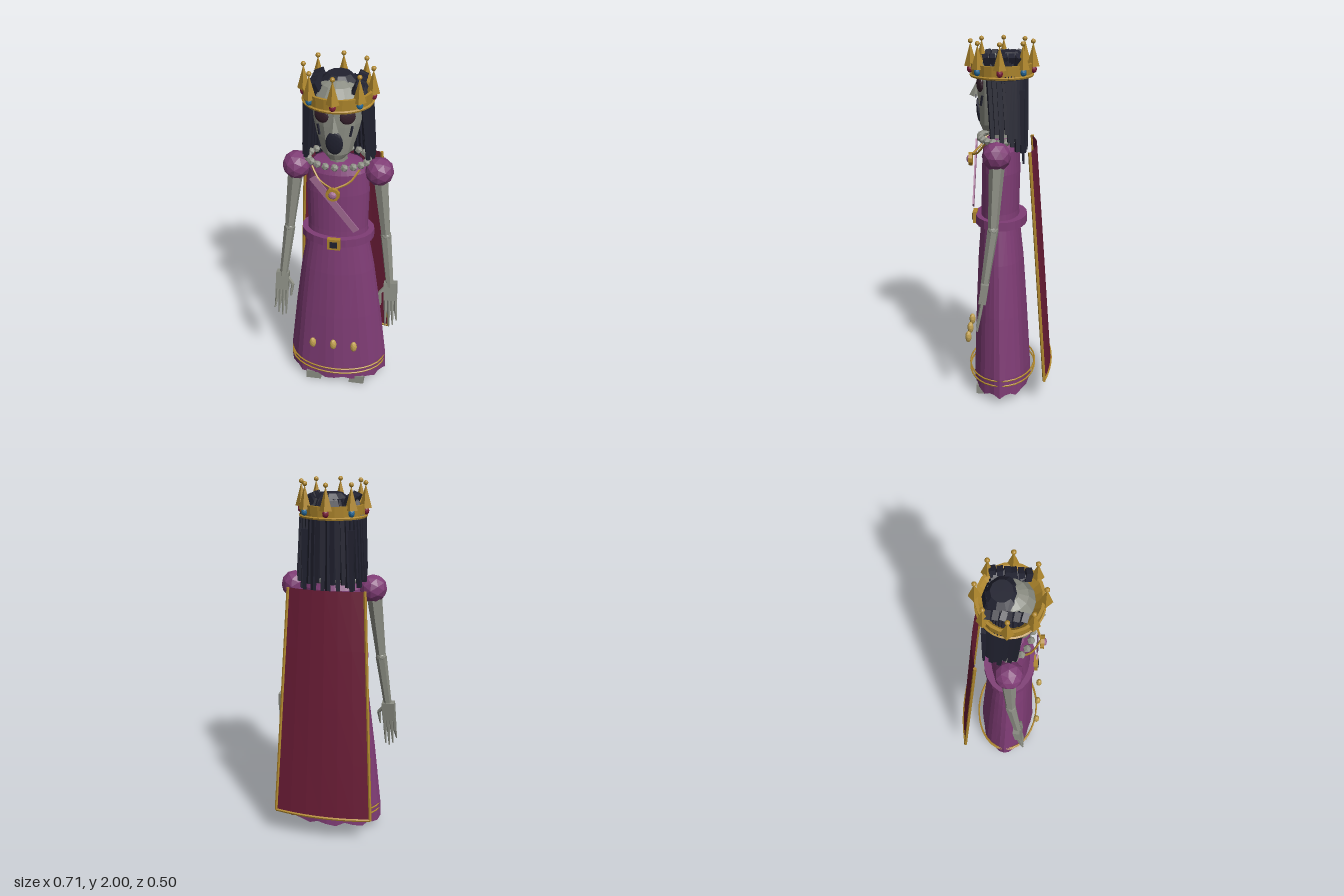
import * as THREE from 'three';

const mat = (name, color) => Object.assign(new THREE.MeshStandardMaterial({ color, flatShading: true, side: THREE.DoubleSide }), { name });
const V = (x, y, z) => new THREE.Vector3(x, y, z);

// Skin of elliptical rings [y, rx, zCentre, rz], with an optional fold rule
function loft(rings, n, capped = true, fold = (t, j) => [1, 0]) {
  const pos = [], idx = [];
  rings.forEach(([y, rx, zc, rz], j) => {
    for (let i = 0; i < n; i++) {
      const t = (i / n) * Math.PI * 2, [k, dy] = fold(t, j, i);
      pos.push(Math.sin(t) * rx * k, y + dy, zc + Math.cos(t) * rz * k);
    }
  });
  for (let j = 0; j < rings.length - 1; j++) for (let i = 0; i < n; i++) {
    const a = j * n + i, b = j * n + (i + 1) % n;
    idx.push(a, b, b + n, a, b + n, a + n);
  }
  if (capped) [0, rings.length - 1].forEach((j) => {
    const c = pos.length / 3;
    pos.push(0, rings[j][0], rings[j][2]);
    for (let i = 0; i < n; i++) {
      const a = j * n + i, b = j * n + (i + 1) % n;
      idx.push(...(j ? [a, b, c] : [b, a, c]));
    }
  });
  const g = new THREE.BufferGeometry();
  g.setAttribute('position', new THREE.Float32BufferAttribute(pos, 3));
  g.setIndex(idx);
  g.computeVertexNormals();
  return g;
}

export function createModel() {
  const root = new THREE.Group();
  root.name = 'skeletonQueen';
  const purple = mat('purpleCloth', 0x7f3c75), crimson = mat('crimsonCape', 0x6a1c36), gold = mat('gold', 0xae862c),
    bone = mat('bone', 0x8b8d83), black = mat('blackHair', 0x212230), paleGold = mat('paleGold', 0xc0a050),
    pink = mat('pinkSash', 0xa06a92), blue = mat('blueGem', 0x246a9c), ruby = mat('ruby', 0x7c1c38), socket = mat('eyeSocket', 0x35202c);

  const add = (name, geo, m, x = 0, y = 0, z = 0, parent = root) => {
    const mesh = new THREE.Mesh(geo, m);
    mesh.name = name;
    mesh.position.set(x, y, z);
    parent.add(mesh);
    return mesh;
  };
  const box = (name, w, h, d, m, x, y, z) => add(name, new THREE.BoxGeometry(w, h, d), m, x, y, z);
  const ball = (name, r, m, x, y, z, detail = 1) => add(name, new THREE.IcosahedronGeometry(r, detail), m, x, y, z);
  // Tapered bar from a to b
  const bar = (name, a, b, ra, rb, m, sides = 6) => {
    const d = b.clone().sub(a);
    const mesh = add(name, new THREE.CylinderGeometry(rb, ra, d.length(), sides), m);
    mesh.position.copy(a).add(b).multiplyScalar(0.5);
    mesh.quaternion.setFromUnitVectors(V(0, 1, 0), d.normalize());
    return mesh;
  };
  const tube = (name, pts, r, m, closed = false) =>
    add(name, new THREE.TubeGeometry(new THREE.CatmullRomCurve3(pts, closed), closed ? 32 : 12, r, 5, closed), m);
  const ellipse = (n, rx, rz, y, zc) => Array.from({ length: n }, (_, i) => {
    const t = (i / n) * Math.PI * 2;
    return V(Math.sin(t) * rx, y, zc + Math.cos(t) * rz);
  });

  // Gown with folds that fade toward the waist and a wavy hem
  add('gown', loft([
    [0.045, 0.28, 0.04, 0.16], [0.15, 0.28, 0.04, 0.157], [0.5, 0.243, 0.044, 0.142], [0.8, 0.205, 0.047, 0.126],
    [1.0, 0.17, 0.05, 0.108], [1.08, 0.165, 0.05, 0.104], [1.3, 0.17, 0.045, 0.105], [1.42, 0.16, 0.043, 0.1], [1.47, 0.13, 0.043, 0.08],
  ], 32, false, (t, j) => [1 + Math.max(0, 4 - j) * 0.007 * Math.cos(8 * t), j ? 0 : 0.012 * Math.sin(11 * t)]), purple);
  add('gownTop', loft([[1.465, 0.13, 0.043, 0.08], [1.475, 0.05, 0.043, 0.05]], 16), purple);
  [0.11, 0.14].forEach((y) => tube('hemTrim', ellipse(16, 0.28, 0.186, y, 0.04), 0.005, gold, true));
  [-0.12, 0, 0.12].forEach((x) => ball('skirtJewel', 0.02, paleGold, x, 0.335, 0.228).scale.set(1, 1.75, 0.9));

  // Belt with a square buckle
  add('belt', loft([[1.0, 0.2, 0.045, 0.143], [1.048, 0.2, 0.045, 0.143], [1.048, 0.165, 0.045, 0.1], [1.0, 0.165, 0.045, 0.1], [1.0, 0.2, 0.045, 0.143]], 20, false), purple);
  box('buckle', 0.07, 0.066, 0.024, gold, 0, 1.024, 0.19);
  box('buckleCentre', 0.04, 0.036, 0.006, black, 0, 1.024, 0.204);

  // Sash, chain and pendant
  box('sash', 0.037, 0.385, 0.008, pink, 0.005, 1.275, 0.189).rotation.z = 0.645;
  [-1, 1].forEach((s) => tube('chain', [V(s * 0.125, 1.46, 0.125), V(s * 0.08, 1.405, 0.165), V(0, 1.375, 0.205)], 0.006, gold));
  add('pendant', new THREE.CylinderGeometry(0.037, 0.037, 0.02, 10), gold, 0, 1.35, 0.212).rotation.x = Math.PI / 2;
  ball('pendantGem', 0.022, pink, 0, 1.35, 0.222).scale.z = 0.6;
  ellipse(20, 0.16, 0.115, 1.478, 0.043).forEach((p) => ball('collarBead', 0.022, bone, p.x, p.y, p.z, 0));

  // Cape flaring to the floor, trimmed along sides and hem
  const capePoint = (u, v) => V(u * (0.275 - 0.065 * v), 0.15 + 1.29 * v, -0.242 + 0.092 * v + 0.033 * u * u);
  const capeGeo = new THREE.PlaneGeometry(2, 1, 6, 4), cp = capeGeo.attributes.position;
  for (let i = 0; i < cp.count; i++) {
    const p = capePoint(cp.getX(i), cp.getY(i) + 0.5);
    cp.setXYZ(i, p.x, p.y, p.z);
  }
  capeGeo.computeVertexNormals();
  add('cape', capeGeo, crimson);
  [-1, 1].forEach((s) => bar('capeSideTrim', capePoint(s, 0), capePoint(s, 1), 0.009, 0.009, gold));
  tube('capeHemTrim', [-1, -0.66, -0.33, 0, 0.33, 0.66, 1].map((u) => capePoint(u, 0)), 0.008, gold);

  // Arms, hands and feet, mirrored
  [-1, 1].forEach((s) => {
    ball('puffSleeve', 0.077, purple, s * 0.22, 1.42, 0.055);
    const shoulder = V(s * 0.228, 1.38, 0.052), elbow = V(s * 0.268, 1.03, 0.072), wrist = V(s * 0.305, 0.72, 0.118);
    bar('upperArm', shoulder, elbow, 0.042, 0.027, bone);
    ball('elbow', 0.03, bone, ...elbow.toArray());
    bar('forearm', elbow, wrist, 0.031, 0.022, bone);
    const hand = box('hand', 0.072, 0.11, 0.04, bone, s * 0.31, 0.69, 0.12);
    hand.rotation.set(-0.15, 0, s * 0.05);
    for (let i = 0; i < 4; i++) {
      const x = 0.284 + i * 0.019, tip = V(s * (0.29 + i * 0.021), [0.47, 0.46, 0.475, 0.51][i], 0.158);
      const knuckle = V(s * (x + 0.004), 0.565, 0.142);
      bar('fingerBase', V(s * x, 0.65, 0.126), knuckle, 0.011, 0.01, bone, 5);
      bar('fingerTip', knuckle, tip, 0.01, 0.004, bone, 5);
    }
    bar('thumbBase', V(s * 0.28, 0.71, 0.12), V(s * 0.25, 0.675, 0.132), 0.012, 0.011, bone, 5);
    bar('thumbTip', V(s * 0.25, 0.675, 0.132), V(s * 0.258, 0.6, 0.145), 0.011, 0.005, bone, 5);
    box('foot', 0.088, 0.055, 0.16, bone, s * 0.13, 0.029, 0.1);
    bar('ankle', V(s * 0.125, 0.04, 0.06), V(s * 0.11, 0.4, 0.05), 0.03, 0.03, bone);
  });

  // Skull and face
  bar('neck', V(0, 1.44, 0.045), V(0, 1.6, 0.05), 0.052, 0.045, bone, 8);
  add('skull', loft([
    [1.515, 0.045, 0.09, 0.055], [1.55, 0.08, 0.075, 0.085], [1.64, 0.108, 0.06, 0.107], [1.71, 0.124, 0.05, 0.12],
    [1.79, 0.132, 0.045, 0.126], [1.85, 0.122, 0.04, 0.118], [1.9, 0.085, 0.04, 0.085], [1.92, 0.04, 0.04, 0.04],
  ], 14), bone);
  [-1, 1].forEach((s) => {
    const eye = ball('eyeSocket', 0.041, socket, s * 0.066, 1.768, 0.152, 2);
    eye.scale.z = 0.35;
    eye.rotation.y = s * 0.4;
    bar('browRidge', V(s * 0.025, 1.8, 0.172), V(s * 0.105, 1.812, 0.125), 0.012, 0.01, bone, 5);
    box('nostril', 0.009, 0.016, 0.008, black, s * 0.016, 1.698, 0.178).rotation.z = s * 0.4;
    const slit = box('cheekHollow', 0.01, 0.055, 0.008, black, s * 0.083, 1.685, 0.142);
    slit.rotation.set(0, s * 0.75, -s * 0.25);
  });
  const nose = add('nose', new THREE.ConeGeometry(0.026, 0.085, 4), bone, 0, 1.738, 0.18);
  nose.rotation.x = -0.2;
  const mouth = ball('mouth', 0.045, black, 0, 1.622, 0.163, 2);
  mouth.scale.set(1, 1.5, 0.3);
  mouth.rotation.x = 0.08;

  // Hair: crown cap, then strands falling round the sides and back
  add('hairCap', loft([[1.84, 0.122, 0.005, 0.105], [1.9, 0.1, 0.005, 0.085], [1.935, 0.06, 0.0, 0.055]], 10), black);
  const strands = 27;
  for (let i = 0; i < strands; i++) {
    const t = 1.1 + (i / (strands - 1)) * (Math.PI * 2 - 2.2), sx = Math.sin(t), cz = Math.cos(t);
    const back = Math.max(0, -cz), end = 1.5 - 0.07 * back + 0.035 * Math.sin(i * 2.4);
    const z = 0.015 + cz * (cz > 0 ? 0.17 : 0.09);
    const top = V(sx * 0.105, 1.905, z * 0.85 + 0.01), mid = V(sx * 0.16, 1.8, z);
    bar('strandTop', top, mid, 0.022, 0.024, black, 4);
    bar('strand', mid, V(sx * 0.182, end, z - 0.012), 0.025, 0.015, black, 4);
  }
  [-1, 1].forEach((s) => {
    bar('longStrand', V(s * 0.125, 1.75, -0.07), V(s * 0.13, 1.36, -0.082), 0.024, 0.008, black, 4);
    for (let i = 0; i < 6; i++) box('hairTuft', 0.045, 0.05, 0.03, black, s * 0.108, 1.9, -0.05 + i * 0.033).rotation.set(0.2 * (i % 3 - 1), 0.15 * s, -s * 0.4);
  });

  // Crown: sloped band, rims, spikes and alternating gems
  add('crownBand', loft([[1.81, 0.175, 0.04, 0.16], [1.875, 0.18, 0.04, 0.165], [1.875, 0.165, 0.04, 0.15], [1.83, 0.125, 0.04, 0.108]], 24, false), gold);
  tube('crownRim', ellipse(16, 0.178, 0.163, 1.812, 0.04), 0.008, gold, true);
  ellipse(8, 0.175, 0.165, 0, 0.04).forEach((p, i) => {
    add('crownSpike', new THREE.ConeGeometry(0.034, 0.125, 4), gold, p.x, 1.917, p.z);
    ball('spikeBall', 0.013, gold, p.x, 1.985, p.z);
    ball('crownGem', 0.017, i % 2 ? blue : ruby, p.x * 1.02, 1.84, 0.04 + (p.z - 0.04) * 1.02).scale.y = 1.25;
  });
  return root;
}
